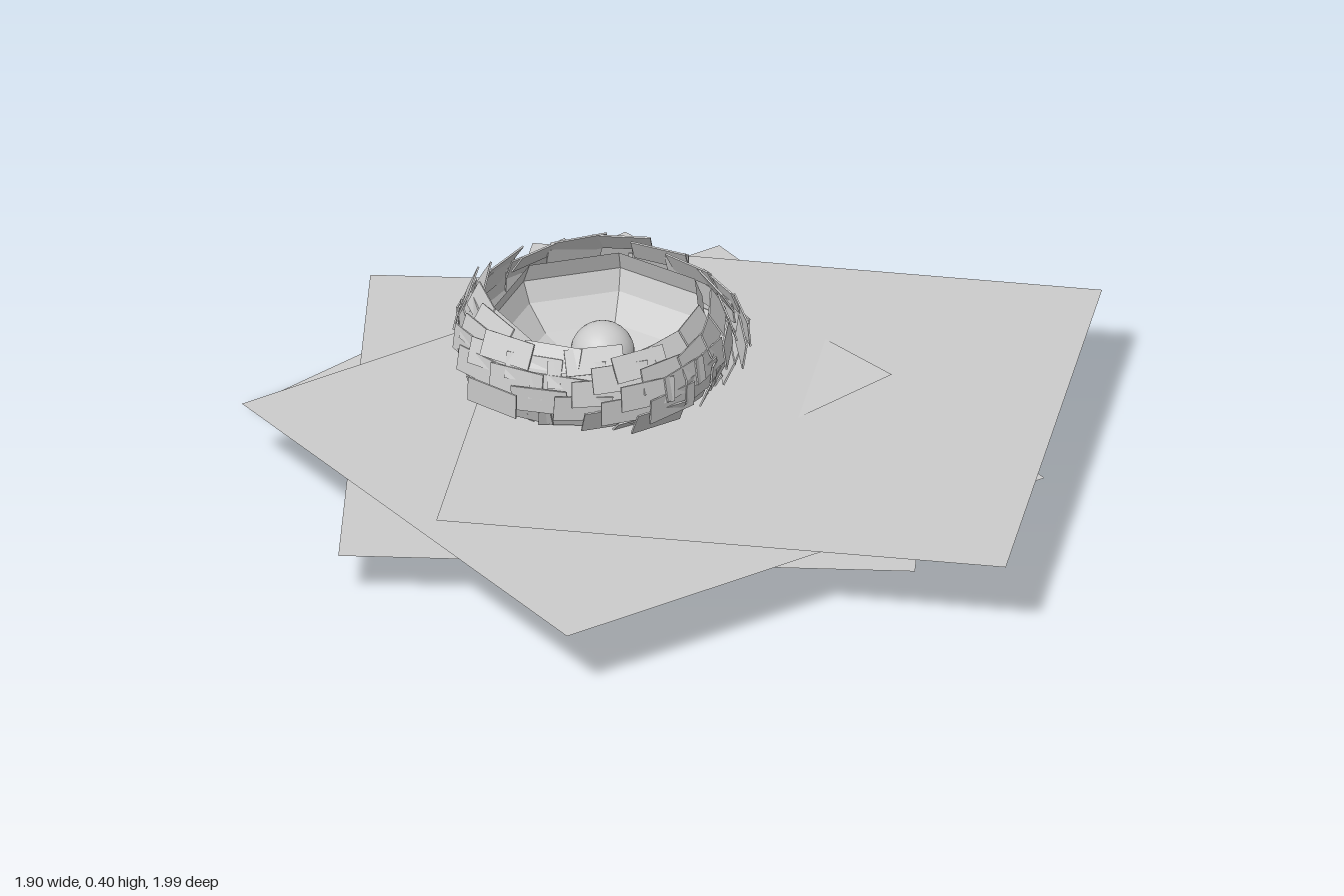
import * as THREE from 'three';

const flat = new THREE.MeshStandardMaterial({ color: 0xcccccc, flatShading: true, side: THREE.DoubleSide });
const smooth = new THREE.MeshStandardMaterial({ color: 0xcccccc });
const CX = -0.135, CZ = -0.19;

// Seeded jitter in the range -1..1
let seed = 7;
function jitter() {
  seed = (seed * 16807) % 2147483647;
  return (seed / 2147483647) * 2 - 1;
}

// Flat square sheet, turned about y and tilted about z
function sheet(name, side, x, y, z, turn, tilt = 0) {
  const geo = new THREE.PlaneGeometry(side, side);
  geo.rotateX(-Math.PI / 2).rotateY(turn).rotateZ(tilt);
  const mesh = new THREE.Mesh(geo, flat);
  mesh.name = name;
  mesh.position.set(x, y, z);
  return mesh;
}

// Rounded pentagon with a flat side towards the front, 1 = mean radius
function pentagon(a) {
  const side = (Math.PI * 2) / 5;
  const off = a - Math.round(a / side) * side;
  return 0.4 + 0.56 * (0.95 / Math.cos(off));
}

export function createModel() {
  const model = new THREE.Group();
  model.name = 'nestOnSheets';

  // Overlapping ground sheets, one of them tilted
  model.add(
    sheet('tiltedSheet', 1.066, -0.205, 0.11, -0.24, Math.PI / 4, 0.147),
    sheet('lowerSheet', 1.32, -0.015, 0.113, -0.11, 0.112),
    sheet('middleSheet', 1.32, 0.015, 0.163, 0.06, Math.PI / 4 - 0.02),
    sheet('upperSheet', 1.32, 0.28, 0.193, -0.1, 0)
  );

  // Faceted bowl inside the nest
  const profile = [[0, 0.18], [0.1, 0.185], [0.19, 0.215], [0.245, 0.27], [0.265, 0.32], [0.245, 0.37]];
  const bowl = new THREE.Mesh(
    new THREE.LatheGeometry(profile.map(p => new THREE.Vector2(...p)), 7, -Math.PI / 7), flat);
  bowl.name = 'bowl';
  bowl.position.set(CX + 0.01, 0, CZ);
  model.add(bowl);

  // Rows of overlapping slats: height, radius, inward lean, count
  const rows = [
    [0.165, 0.19, 0.9, 13],
    [0.195, 0.255, 0.7, 16],
    [0.23, 0.305, 0.35, 18],
    [0.27, 0.325, 0.1, 19],
    [0.305, 0.32, -0.15, 19],
    [0.34, 0.305, -0.35, 18],
    [0.368, 0.28, -0.55, 17]
  ];
  const nest = new THREE.Group();
  nest.name = 'nest';
  rows.forEach(([y, r, lean, count], row) => {
    for (let i = 0; i < count; i++) {
      const a = ((i + row * 0.4) / count) * Math.PI * 2;
      const radius = r * pentagon(a) + 0.008 * jitter();
      const slat = new THREE.Mesh(new THREE.BoxGeometry(0.135, 0.062, 0.004), flat);
      slat.name = 'slat';
      slat.position.set(CX + Math.sin(a) * radius, y + 0.006 * jitter(), CZ + Math.cos(a) * radius);
      slat.rotation.set(lean + 0.08 * jitter(), a + 0.16 + 0.08 * jitter(), 0.05 * jitter(), 'YXZ');
      nest.add(slat);
    }
  });
  model.add(nest);

  // Egg lying in the bowl
  const egg = new THREE.Mesh(new THREE.SphereGeometry(0.074, 24, 16), smooth);
  egg.name = 'egg';
  egg.position.set(-0.12, 0.25, -0.18);
  model.add(egg);

  return model;
}
